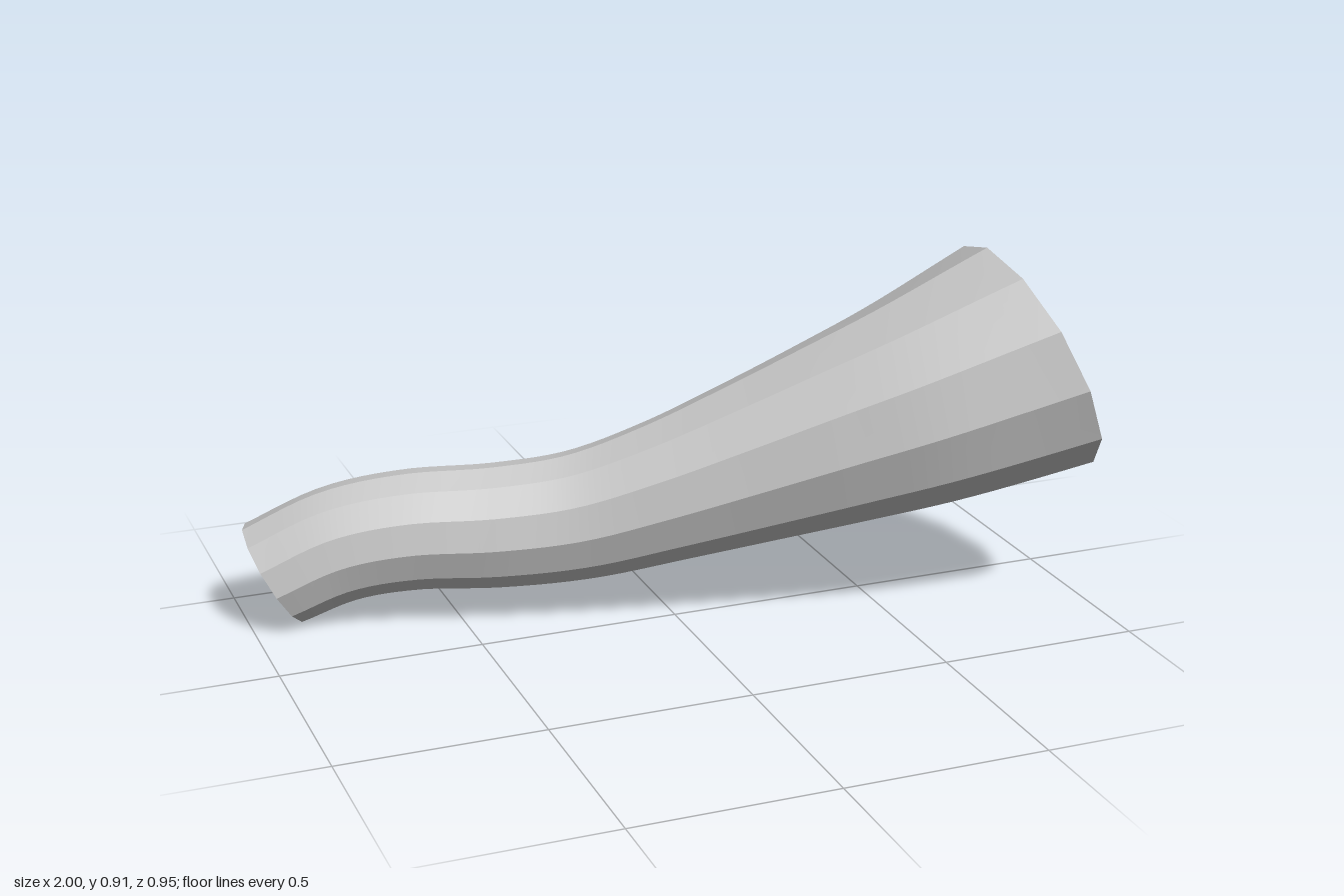
import * as THREE from 'three';

const SIDES = 12;
const STEPS = 48;

// Stations along the tube: centre x, y, z, radius, pitch, yaw, twist
const STATIONS = [
  [-0.93, 0.125, -0.338, 0.141, 0.52, 0.22, 0.09],
  [-0.77, 0.195, -0.298, 0.146, 0.30, 0.26, 0.08],
  [-0.60, 0.225, -0.250, 0.150, 0.10, 0.28, 0.07],
  [-0.40, 0.230, -0.190, 0.155, 0.05, 0.29, 0.06],
  [-0.20, 0.252, -0.130, 0.162, 0.20, 0.30, 0.05],
  [0.00, 0.312, -0.062, 0.179, 0.32, 0.30, 0.04],
  [0.20, 0.382, 0.000, 0.206, 0.36, 0.28, 0.03],
  [0.40, 0.456, 0.062, 0.236, 0.36, 0.24, 0.02],
  [0.60, 0.530, 0.117, 0.267, 0.37, 0.16, 0.01],
  [0.873, 0.631, 0.162, 0.310, 0.42, 0.01, 0],
];

// Smooth (Catmull-Rom) value of every station column at t in 0..1
function sampleStation(t) {
  const f = t * (STATIONS.length - 1);
  const i = Math.min(Math.floor(f), STATIONS.length - 2);
  const w = f - i;
  const p1 = STATIONS[i];
  const p2 = STATIONS[i + 1];
  return p1.map((b, k) => {
    const c = p2[k];
    const a = i > 0 ? STATIONS[i - 1][k] : 2 * b - c;
    const d = i + 2 < STATIONS.length ? STATIONS[i + 2][k] : 2 * c - b;
    return b + 0.5 * w * (c - a + w * (2 * a - 5 * b + 4 * c - d + w * (3 * (b - c) + d - a)));
  });
}

// One corner of the tilted twelve-sided ring
function ringPoint([x, y, z, r, pitch, yaw, twist], side) {
  const a = (side / SIDES) * Math.PI * 2 + twist;
  const up = r * Math.cos(a);
  const across = r * Math.sin(a);
  return [
    x - up * Math.sin(pitch) * Math.cos(yaw) - across * Math.sin(yaw),
    y + up * Math.cos(pitch),
    z - up * Math.sin(pitch) * Math.sin(yaw) + across * Math.cos(yaw),
  ];
}

// Each side is its own strip: smooth along the length, creased between sides
function createTubeGeometry() {
  const positions = [];
  const indices = [];
  for (let side = 0; side < SIDES; side++) {
    const base = positions.length / 3;
    for (let i = 0; i <= STEPS; i++) {
      const ring = sampleStation(i / STEPS);
      positions.push(...ringPoint(ring, side), ...ringPoint(ring, side + 1));
      if (i < STEPS) {
        const a = base + i * 2;
        indices.push(a, a + 1, a + 2, a + 1, a + 3, a + 2);
      }
    }
  }
  const geometry = new THREE.BufferGeometry();
  geometry.setAttribute('position', new THREE.Float32BufferAttribute(positions, 3));
  geometry.setIndex(indices);
  geometry.computeVertexNormals();
  return geometry;
}

export function createModel() {
  const group = new THREE.Group();
  group.name = 'flaredTube';

  const lightGrey = new THREE.MeshStandardMaterial({ color: 0xcccccc, side: THREE.DoubleSide });
  lightGrey.name = 'lightGrey';

  // Open sleeve, narrow at the right and flared at the left
  const sleeve = new THREE.Mesh(createTubeGeometry(), lightGrey);
  sleeve.name = 'sleeve';
  group.add(sleeve);

  return group;
}
